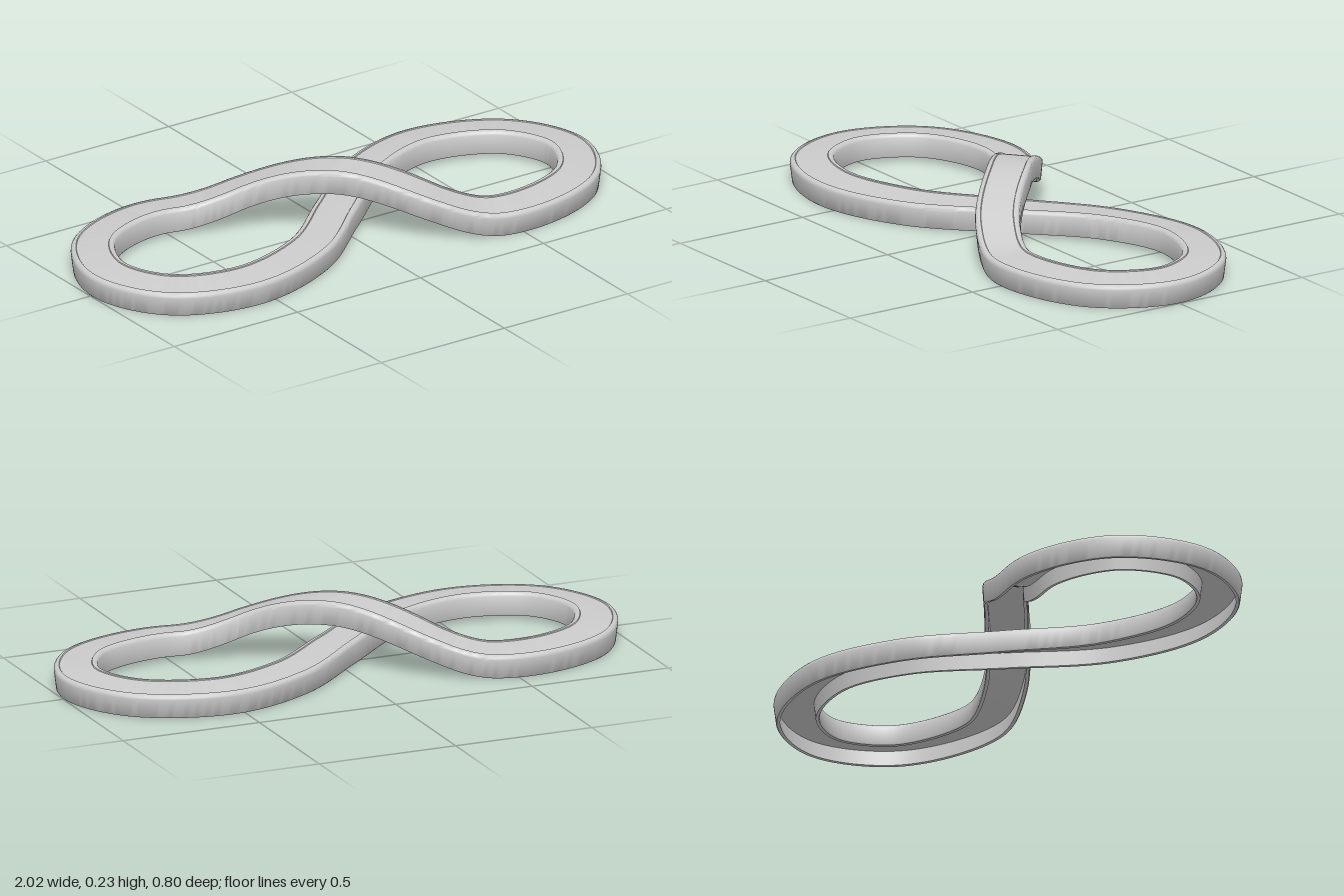
import * as THREE from 'three';
import { toCreasedNormals } from 'three/addons/utils/BufferGeometryUtils.js';

// Centre line seen from above (x, z): a figure eight
const PATH = [
  [0, 0], [-0.265, 0.215], [-0.58, 0.307], [-0.83, 0.22],
  [-0.926, 0.01], [-0.82, -0.225], [-0.55, -0.325], [-0.28, -0.23],
  [0, 0], [0.27, 0.23], [0.52, 0.314], [0.815, 0.22],
  [0.926, 0], [0.825, -0.21], [0.55, -0.31], [0.27, -0.22],
];
const BRIDGE_FROM = 6 / 16, BRIDGE_TO = 10 / 16; // stretch of the path that rises
const BRIDGE_HEIGHT = 0.146, BRIDGE_HALF = 0.46;
const BASE = 0.009, BANK = 0.11;

// Right half of the cross-section (across, up): open channel below, shallow road on top
const HALF = [
  [0.06, 0.055], [0.06, 0], [0.071, 0], [0.074, 0.004], [0.075, 0.066],
  [0.073, 0.074], [0.068, 0.079], [0.061, 0.081], [0.056, 0.081], [0.054, 0.078],
];
const PROFILE = [...HALF, ...HALF.map(([u, v]) => [-u, v]).reverse()];

function sweepTrack(segments) {
  const curve = new THREE.CatmullRomCurve3(
    PATH.map(([x, z]) => new THREE.Vector3(x, 0, z)), true, 'centripetal');
  const positions = [], index = [], n = PROFILE.length;

  for (let i = 0; i < segments; i++) {
    const s = i / segments;
    const p = curve.getPoint(s);
    const t = curve.getTangent(s);
    const side = new THREE.Vector3(t.z, 0, -t.x).normalize();

    // Smooth hump where one strand passes over the other
    const onBridge = s > BRIDGE_FROM && s < BRIDGE_TO && Math.abs(p.x) < BRIDGE_HALF;
    const rise = onBridge
      ? BRIDGE_HEIGHT * 0.5 * (1 + Math.cos(Math.PI * p.x / BRIDGE_HALF)) : 0;

    // Both loops lean gently outwards
    const lean = BANK * Math.sin(Math.PI / 2 * THREE.MathUtils.clamp(p.x / 0.5, -1, 1));
    const c = Math.cos(lean), k = Math.sin(lean);
    for (const [u, v] of PROFILE) {
      const across = u * c - v * k, up = u * k + v * c;
      positions.push(p.x + side.x * across, BASE + rise + up, p.z + side.z * across);
    }

    // Join this ring to the next one
    const next = (i + 1) % segments;
    for (let j = 0; j < n; j++) {
      const j2 = (j + 1) % n;
      const a = i * n + j, b = i * n + j2, d = next * n + j, e = next * n + j2;
      index.push(a, b, d, b, e, d);
    }
  }
  const geometry = new THREE.BufferGeometry();
  geometry.setAttribute('position', new THREE.Float32BufferAttribute(positions, 3));
  geometry.setIndex(index);
  return toCreasedNormals(geometry, 0.7);
}

export function createModel() {
  const group = new THREE.Group();
  group.name = 'figureEightTrack';
  const track = new THREE.Mesh(
    sweepTrack(320), new THREE.MeshStandardMaterial({ color: 0xcccccc }));
  track.name = 'trackLoop';
  group.add(track);
  return group;
}
